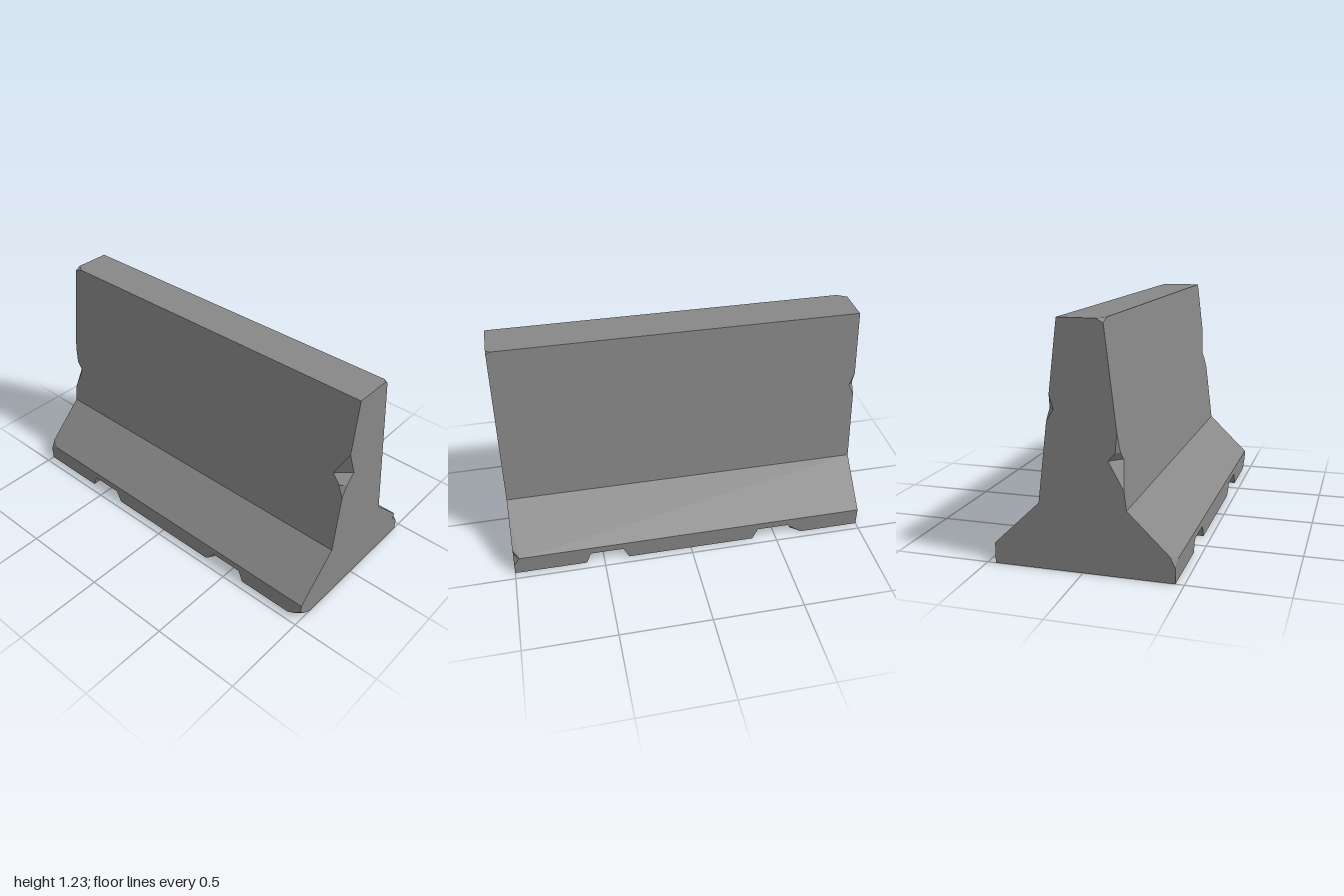
import * as THREE from 'three';

const V = (x, y, z) => new THREE.Vector3(x, y, z);
const EPS = 1e-6;

// Wall profile: [height, half depth]
const BASE = 0.457, SLOT = 0.066, EDGE = 0.106, HEIGHT = 1.23;
const PROFILE = [[SLOT, BASE], [EDGE, BASE], [0.335, 0.22], [HEIGHT, 0.112]];

function halfDepth(y) {
  for (let i = 1; i < PROFILE.length; i++) {
    const [y0, z0] = PROFILE[i - 1], [y1, z1] = PROFILE[i];
    if (y <= y1) return THREE.MathUtils.lerp(z0, z1, Math.max(0, (y - y0) / (y1 - y0)));
  }
  return PROFILE[PROFILE.length - 1][1];
}

// Part of a convex polygon on one side of a plane (side 1 = in front, -1 = behind)
function clip(poly, plane, side) {
  const out = [];
  poly.forEach((a, i) => {
    const b = poly[(i + 1) % poly.length];
    const da = plane.distanceToPoint(a) * side, db = plane.distanceToPoint(b) * side;
    if (da >= -EPS) out.push(a);
    if ((da > EPS && db < -EPS) || (da < -EPS && db > EPS)) out.push(a.clone().lerp(b, da / (da - db)));
  });
  return out;
}

function area(poly) {
  const sum = V(0, 0, 0);
  for (let i = 1; i < poly.length - 1; i++) {
    sum.add(poly[i].clone().sub(poly[0]).cross(poly[i + 1].clone().sub(poly[0])));
  }
  return sum.length() / 2;
}

// Remove the convex region in front of all the planes from a list of polygons
function subtract(polys, planes) {
  return polys.flatMap((poly) => {
    const kept = [];
    let rest = poly;
    for (const p of planes) {
      const outside = clip(rest, p, -1);
      if (area(outside) > 1e-8) kept.push(outside);
      rest = clip(rest, p, 1);
      if (area(rest) < 1e-8) return [poly];
    }
    return kept;
  });
}

function bigSquare(plane) {
  const n = plane.normal;
  const u = V(0, 1, 0).cross(n).normalize();
  const v = n.clone().cross(u);
  const c = plane.coplanarPoint(V(0, 0, 0));
  return [[-4, -4], [4, -4], [4, 4], [-4, 4]].map(([a, b]) => c.clone().addScaledVector(u, a).addScaledVector(v, b));
}

// Chip: a point in the lost material, the fracture planes and how far they reach
function chip(at, cuts, reach = 0.22) {
  const faces = cuts.map((points) => {
    const p = new THREE.Plane().setFromCoplanarPoints(...points);
    return p.distanceToPoint(at) < 0 ? p.negate() : p;
  });
  const bounds = [V(1, 0, 0), V(0, 1, 0), V(0, 0, 1)].flatMap((d) => [1, -1].map((s) => {
    const n = d.clone().multiplyScalar(s);
    return new THREE.Plane().setFromNormalAndCoplanarPoint(n, at.clone().addScaledVector(n, -reach));
  }));
  return { faces, planes: [...faces, ...bounds] };
}

// Two-faced notch in an upright end edge; sx and sz pick the edge
function notch(sx, sz, y, up, down, alongX, alongZ) {
  const onEdge = (h) => V(sx, h, sz * halfDepth(h));
  const at = onEdge(y);
  const inner = at.clone().setX(sx * (1 - alongX));
  const deep = at.clone().setZ(at.z - sz * alongZ);
  return chip(at, [[onEdge(y + up), inner, deep], [onEdge(y - down), inner, deep]]);
}

// Single flat cut across a corner, given by its offsets along the three edges
function corner(x, y, sz, dx, dy, dz, reach) {
  const at = V(x, y, sz * halfDepth(y));
  const side = V(x, y + dy, sz * halfDepth(y + dy));
  return chip(at, [[at.clone().setX(x + dx), side, at.clone().setZ(at.z - sz * dz)]], reach);
}

// Six-sided block between two levels, each [y, xMin, xMax, zHalf]
function block(lower, upper) {
  const ring = ([y, a, b, z]) => [V(a, y, z), V(b, y, z), V(b, y, -z), V(a, y, -z)];
  const l = ring(lower), u = ring(upper);
  const faces = l.map((p, i) => [p, l[(i + 1) % 4], u[(i + 1) % 4], u[i]]);
  return [...faces, u, [...l].reverse()];
}

export function createModel() {
  // Wall slabs and three feet; only outer faces are drawn
  const cells = [0, 1, 2].map((i) => {
    const [lower, upper] = [PROFILE[i], PROFILE[i + 1]].map(([y, z]) => [y, -1, 1, z]);
    const solid = block(lower, upper);
    return { solid, shown: solid.slice(0, i === 2 ? 5 : 4) };
  });
  for (const [a, b, c, d] of [[-1, -0.605, -1, -0.58], [-0.365, 0.36, -0.395, 0.39], [0.6, 1, 0.575, 1]]) {
    const solid = block([0, a, b, BASE], [SLOT, c, d, BASE]);
    cells.push({ solid, shown: [...solid.slice(0, 4), solid[5]] });
  }

  // Broken edges and corners
  const chips = [
    // wall ends, the two front ones each a deep notch within a shallow one
    notch(1, 1, 0.785, 0.145, 0.08, 0.075, 0.07),
    notch(1, 1, 0.73, 0.2, 0.06, 0.03, 0.022),
    notch(-1, 1, 0.57, 0.06, 0.14, 0.055, 0.06),
    notch(-1, 1, 0.61, 0.1, 0.18, 0.017, 0.02),
    notch(-1, -1, 0.8, 0.07, 0.06, 0.03, 0.03),
    // skirt ends
    notch(1, -1, EDGE, 0.034, 0.046, 0.032, 0.042),
    notch(-1, 1, EDGE, 0.027, 0.028, 0.05, 0.014),
    // front left bottom corner, rounded by two cuts
    corner(1, 0, 1, -0.0675, 0.06, 0.0525),
    corner(1, 0, 1, -0.085, 0.0425, 0.087),
    // top corners
    corner(-1, HEIGHT, 1, 0.05, -0.02, 0.032),
    corner(1, HEIGHT, -1, -0.02, -0.015, 0.018),
    // slot corners
    corner(0.36, 0, 1, -0.025, 0.022, 0.04, 0.04),
    corner(-0.605, 0, -1, -0.055, 0.04, 0.046, 0.06),
  ];

  const polys = [];
  for (const { solid, shown } of cells) {
    const sides = solid.map((f) => new THREE.Plane().setFromCoplanarPoints(f[0], f[1], f[2]));
    let faces = shown;
    chips.forEach((ch, n) => {
      // Fracture faces, kept inside the block and outside earlier chips
      let fresh = ch.faces.map((f) => {
        let poly = bigSquare(f);
        for (const p of ch.planes) if (p !== f) poly = clip(poly, p, 1);
        for (const s of sides) poly = clip(poly, s, -1);
        return poly;
      }).filter((p) => area(p) > 1e-8);
      for (const earlier of chips.slice(0, n)) fresh = subtract(fresh, earlier.planes);
      faces = [...subtract(faces, ch.planes), ...fresh];
    });
    polys.push(...faces);
  }

  // Slot ceilings
  for (const [a, b] of [[-0.58, -0.395], [0.39, 0.575]]) {
    polys.push([V(a, SLOT, -BASE), V(b, SLOT, -BASE), V(b, SLOT, BASE), V(a, SLOT, BASE)]);
  }

  const points = [];
  for (const p of polys) for (let i = 1; i < p.length - 1; i++) points.push(p[0], p[i], p[i + 1]);
  const geometry = new THREE.BufferGeometry().setFromPoints(points);
  geometry.computeVertexNormals();
  const barrier = new THREE.Mesh(geometry, new THREE.MeshStandardMaterial({ color: 0x888888, flatShading: true }));
  barrier.name = 'concreteBarrier';

  const group = new THREE.Group();
  group.name = 'roadBarrier';
  group.add(barrier);
  return group;
}
